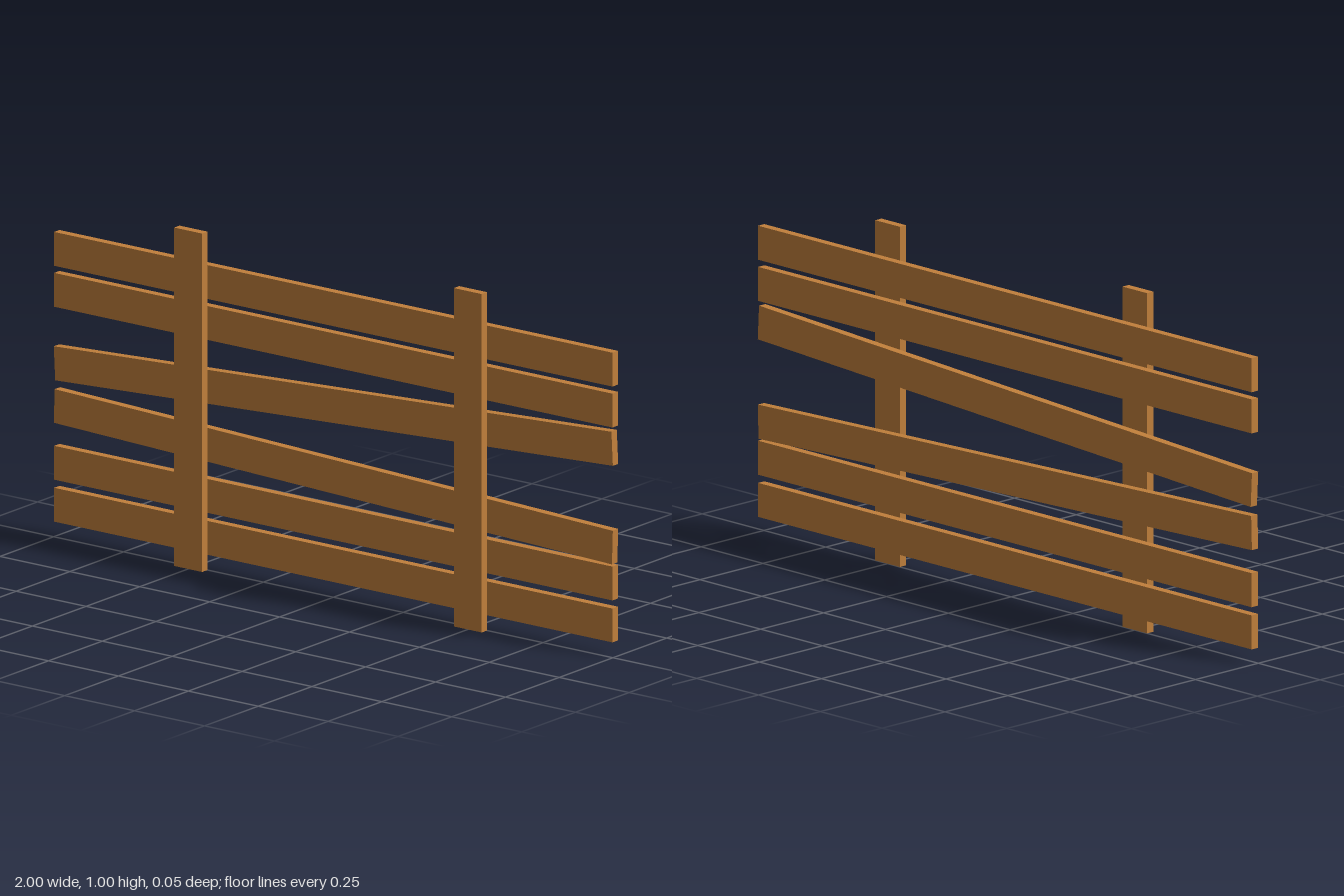
import * as THREE from 'three';

export function createModel() {
  const group = new THREE.Group();
  group.name = 'fence';
  const wood = new THREE.MeshStandardMaterial({ color: 0xc07f3b });
  wood.name = 'wood';

  const T = 0.025; // board thickness
  const W = 0.1; // board width

  const board = (name, w, h, x, y, z, tilt = 0) => {
    const mesh = new THREE.Mesh(new THREE.BoxGeometry(w, h, T), wood);
    mesh.name = name;
    mesh.position.set(x, y, z);
    mesh.rotation.z = tilt;
    group.add(mesh);
  };

  // Upright posts on the front
  board('leftPost', W, 1, 0.5, 0.5, T / 2);
  board('rightPost', W, 1, -0.5, 0.5, T / 2);

  // Rails on the back: centre height and tilt, bottom to top
  const rails = [
    [0.095, 0],
    [0.219, 0],
    [0.356, -0.031],
    [0.565, 0.052],
    [0.73, 0],
    [0.851, 0],
  ];
  rails.forEach(([y, tilt], i) => board(`rail${i + 1}`, 1.997, W, 0, y, -T / 2, tilt));

  return group;
}
